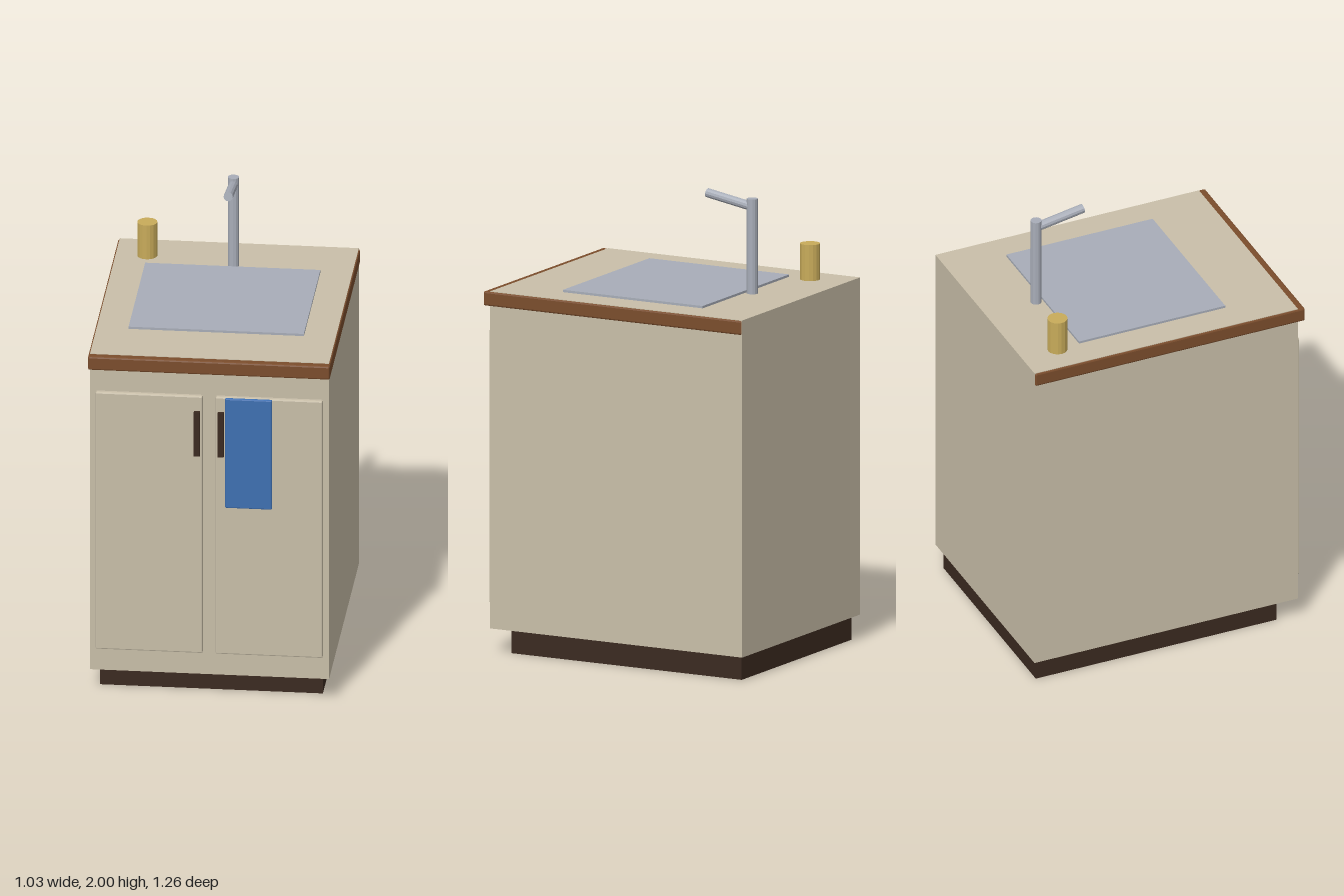
import * as THREE from 'three';
import { RoundedBoxGeometry } from 'three/addons/geometries/RoundedBoxGeometry.js';

const material = (name, color) => new THREE.MeshStandardMaterial({ name, color, flatShading: true });

export function createModel() {
  const cream = material('cream paint', 0xc9bfa9);
  const wood = material('brown wood', 0x7b4d2c);
  const dark = material('dark brown', 0x3b2a20);
  const steel = material('steel', 0xa8adb8);
  const blue = material('blue cloth', 0x3f70b2);
  const gold = material('gold', 0xc8ab5a);

  const model = new THREE.Group();
  model.name = 'sinkCabinet';

  const add = (name, geometry, mat, x = 0, y = 0, z = 0) => {
    const mesh = new THREE.Mesh(geometry, mat);
    mesh.name = name;
    mesh.position.set(x, y, z);
    model.add(mesh);
    return mesh;
  };

  // Box given by its extents, with an optional small chamfer
  const box = (name, mat, [x0, x1], [y0, y1], [z0, z1], bevel = 0) => {
    const size = [x1 - x0, y1 - y0, z1 - z0];
    const geometry = bevel
      ? new RoundedBoxGeometry(...size, 1, bevel)
      : new THREE.BoxGeometry(...size);
    return add(name, geometry, mat, (x0 + x1) / 2, (y0 + y1) / 2, (z0 + z1) / 2);
  };

  // Round bar between two points
  const bar = (name, mat, from, to, radius, sides) => {
    const a = new THREE.Vector3(...from);
    const direction = new THREE.Vector3(...to).sub(a);
    const length = direction.length();
    const mesh = add(name, new THREE.CylinderGeometry(radius, radius, length, sides), mat);
    mesh.position.copy(a).addScaledVector(direction, 0.5);
    mesh.quaternion.setFromUnitVectors(new THREE.Vector3(0, 1, 0), direction.normalize());
    return mesh;
  };

  // Cabinet with recessed base; its top shows inside the wooden rim
  box('toeKick', dark, [-0.475, 0.475], [0, 0.106], [-0.61, 0.51]);
  box('cabinetBody', cream, [-0.51, 0.51], [0.105, 1.567], [-0.632, 0.595]);
  box('counterRim', wood, [-0.516, 0.516], [1.503, 1.565], [-0.63, 0.626], 0.007);

  // Doors and handles, mirrored
  for (const [side, s] of [['right', -1], ['left', 1]]) {
    const span = (a, b) => [Math.min(s * a, s * b), Math.max(s * a, s * b)];
    box(side + 'Door', cream, span(0.028, 0.484), [0.208, 1.398], [0.59, 0.615], 0.006);
    box(side + 'Handle', dark, span(0.038, 0.064), [1.127, 1.33], [0.605, 0.632]);
  }

  // Towel hanging over the left door
  box('towel', blue, [0.07, 0.27], [0.892, 1.398], [0.614, 0.63], 0.005);

  // Basin, tap and cup
  box('basin', steel, [-0.374, 0.374], [1.56, 1.577], [-0.363, 0.318]);
  bar('tapPost', steel, [0, 1.56, -0.394], [0, 1.978, -0.394], 0.024, 12);
  bar('tapSpout', steel, [0, 1.943, -0.394], [0, 1.981, -0.175], 0.02, 12);
  bar('cup', gold, [-0.375, 1.56, -0.464], [-0.375, 1.723, -0.464], 0.043, 16);

  return model;
}
